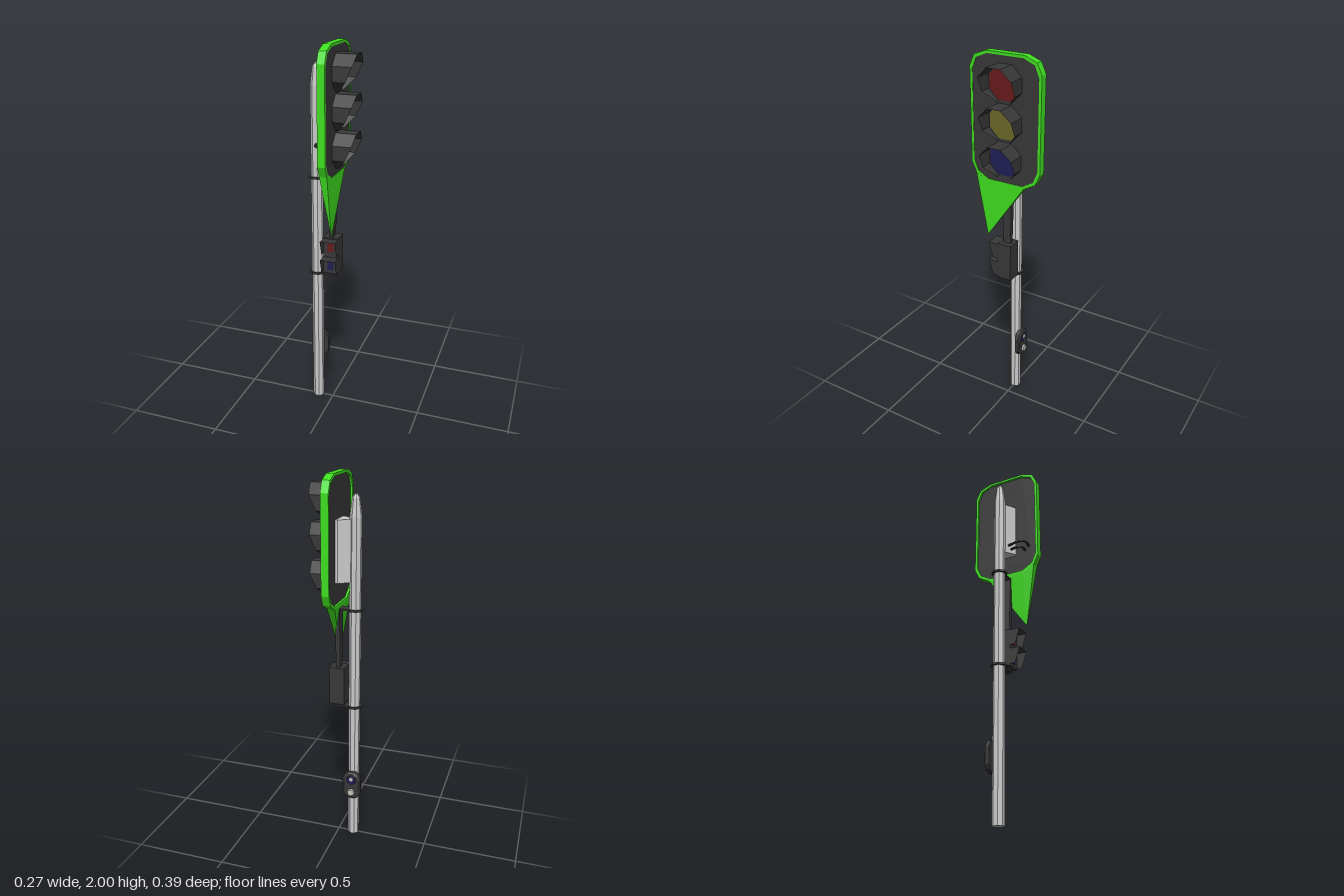
import * as THREE from 'three';
import { ConvexGeometry } from 'three/addons/geometries/ConvexGeometry.js';

const mat = (color, side = THREE.FrontSide) => new THREE.MeshStandardMaterial({ color, side, flatShading: true });
const GREY = mat(0xcccccc), BRACKET = mat(0xcccccc), GREEN = mat(0x3fe020), DARK = mat(0x383838);
const HOOD = mat(0x383838, THREE.DoubleSide);
const RED = mat(0x681a1c), YELLOW = mat(0x6c6828), BLUE = mat(0x201e54), PALE = mat(0xc8c8c0);
const POLE_X = -0.086;

export function createModel() {
  const root = new THREE.Group();
  const add = (name, geo, material, x = 0, y = 0, z = 0, parent = root) => {
    const mesh = new THREE.Mesh(geo, material);
    mesh.name = name;
    mesh.position.set(x, y, z);
    parent.add(mesh);
    return mesh;
  };
  const box = (name, w, h, d, m, x, y, z) => add(name, new THREE.BoxGeometry(w, h, d), m, x, y, z);
  const hull = (name, pts, m) => add(name, new ConvexGeometry(pts.map(p => new THREE.Vector3(...p))), m);

  // Octagonal pole with a tapered cap
  const profile = [[0, 0], [0.031, 0], [0.031, 1.79], [0.02, 1.88], [0.008, 1.9], [0, 1.9]];
  const pole = add('pole', new THREE.LatheGeometry(profile.map(p => new THREE.Vector2(...p)), 8), GREY, POLE_X);
  pole.rotation.y = Math.PI / 8;

  // Signal board: bevelled outline extruded along x
  const outline = (w, top, bottom) => {
    const half = [[w * 0.54, bottom], [w * 0.87, bottom + 0.035], [w, bottom + 0.09],
      [w, top - 0.08], [w * 0.87, top - 0.025], [w * 0.54, top]];
    const mirrored = half.map(([u, v]) => [-u, v]).reverse();
    return half.concat(mirrored).map(p => new THREE.Vector2(...p));
  };
  const slab = (name, shape, m, x0, x1) => {
    const geo = new THREE.ExtrudeGeometry(shape, { depth: x1 - x0, bevelEnabled: false });
    add(name, geo.rotateY(Math.PI / 2), m, x0);
  };
  const rim = new THREE.Shape(outline(0.195, 2, 1.345));
  rim.holes.push(new THREE.Path(outline(0.181, 1.987, 1.358)));
  slab('boardRim', rim, GREEN, -0.012, 0.028);
  slab('boardPanel', new THREE.Shape(outline(0.182, 1.988, 1.357)), DARK, 0, 0.026);

  // Pointed tail below the board, thinning towards its tip
  const edge = [[0.17, 1.38], [0.105, 1.345], [-0.105, 1.345]];
  for (let i = 0; i < 2; i++) {
    const pts = [[0.028, 1.04, 0.105]];
    for (const [z, y] of edge.slice(i, i + 2)) pts.push([0.028, y, z], [-0.012, y, z]);
    hull('boardTail', pts, GREEN);
  }

  // Three lamps with octagonal hoods, open below
  const hoodPts = [[-0.037, -0.09, 0.045], [-0.09, -0.037, 0.09], [-0.09, 0.037, 0.124], [-0.037, 0.09, 0.133],
    [0.037, 0.09, 0.133], [0.09, 0.037, 0.124], [0.09, -0.037, 0.09], [0.037, -0.09, 0.045]];
  const strip = (sections) => {
    const pos = [], index = [];
    sections.forEach(([a, b], i) => {
      pos.push(...a, ...b);
      const k = i * 2;
      if (i) index.push(k - 2, k - 1, k, k - 1, k + 1, k);
    });
    const geo = new THREE.BufferGeometry();
    geo.setAttribute('position', new THREE.Float32BufferAttribute(pos, 3));
    geo.setIndex(index);
    geo.computeVertexNormals();
    return geo;
  };
  [[1.86, RED], [1.67, YELLOW], [1.48, BLUE]].forEach(([y, m]) => {
    const lamp = add('lamp', new THREE.CylinderGeometry(0.09, 0.09, 0.01, 8).rotateY(Math.PI / 8), m, 0.026, y);
    lamp.rotation.z = -Math.PI / 2;
    add('lampHood', strip(hoodPts.map(([z, v, x]) => [[0.026, v, z], [x, v, z]])), HOOD, 0, y);
  });

  // Wedge bracket between pole and board
  const wedge = [];
  for (const y of [1.468, 1.78])
    wedge.push([POLE_X, y, -0.008], [POLE_X, y, 0.008], [-0.012, y, 0.062], [-0.012, y, -0.062], [0.002, y, 0.062], [0.002, y, -0.062]);
  hull('boardBracket', wedge, BRACKET);

  // Cables looping from the bracket into the board
  const cable = (pts) => {
    const curve = new THREE.CatmullRomCurve3(pts.map(p => new THREE.Vector3(...p)));
    add('cable', new THREE.TubeGeometry(curve, 8, 0.007, 6), DARK);
  };
  cable([[-0.045, 1.515, 0.03], [-0.053, 1.52, 0.1], [-0.04, 1.518, 0.133], [0.005, 1.51, 0.136]]);
  cable([[-0.03, 1.495, 0.03], [-0.04, 1.495, 0.08], [-0.028, 1.495, 0.108], [0.005, 1.49, 0.113]]);

  // Pole clamps and their arms
  for (const y of [1.325, 0.79]) {
    const ring = add('poleClamp', new THREE.CylinderGeometry(0.043, 0.043, 0.01, 8), DARK, POLE_X, y);
    ring.rotation.y = Math.PI / 8;
    box('clampArm', 0.075, 0.01, 0.05, DARK, -0.026, y, 0);
  }

  // Stem carrying the small signal box
  const stem = [];
  for (const [y, d] of [[1.0, 0.02], [1.33, 0.03]])
    for (const x of [-0.012, 0.011]) for (const s of [-1, 1]) stem.push([x, y, s * d]);
  hull('signalStem', stem, DARK);
  box('signalFoot', 0.032, 0.025, 0.04, DARK, -0.004, 0.795, 0);
  box('signalBox', 0.082, 0.205, 0.078, DARK, 0.001, 0.907, 0);

  // Small lamps with square hoods, facing front
  [[0.96, RED], [0.855, BLUE]].forEach(([y, m]) => {
    box('walkLamp', 0.034, 0.06, 0.004, m, 0.001, y, 0.04);
    const section = [[-0.041, -0.042, 0.068], [-0.041, 0.043, 0.094], [0.041, 0.043, 0.094], [0.041, -0.042, 0.068]];
    add('walkHood', strip(section.map(([x, v, z]) => [[x, v, 0.038], [x, v, z]])), HOOD, 0.001, y);
  });

  // Push-button unit on the back of the pole
  const plate = [];
  for (const [z, inset] of [[-0.024, 0], [-0.046, 0], [-0.052, 0.008]])
    for (const sx of [-1, 1]) for (const sy of [-1, 1])
      for (const [x, y] of [[0.05, 0.042], [0.038, 0.067], [0.018, 0.08]])
        plate.push([POLE_X + sx * (x - inset), 0.325 + sy * (y - inset), z]);
  hull('buttonPlate', plate, DARK);
  const disc = (name, r, depth, m, x, y) => {
    const d = add(name, new THREE.CylinderGeometry(r * 0.85, r, depth, 8), m, x, y, -0.05 - depth / 2);
    d.rotation.x = -Math.PI / 2;
  };
  disc('buttonSign', 0.03, 0.004, BLUE, POLE_X, 0.36);
  disc('buttonSignMark', 0.014, 0.006, PALE, POLE_X, 0.367);
  disc('pushButton', 0.022, 0.012, PALE, POLE_X, 0.285);

  return root;
}
